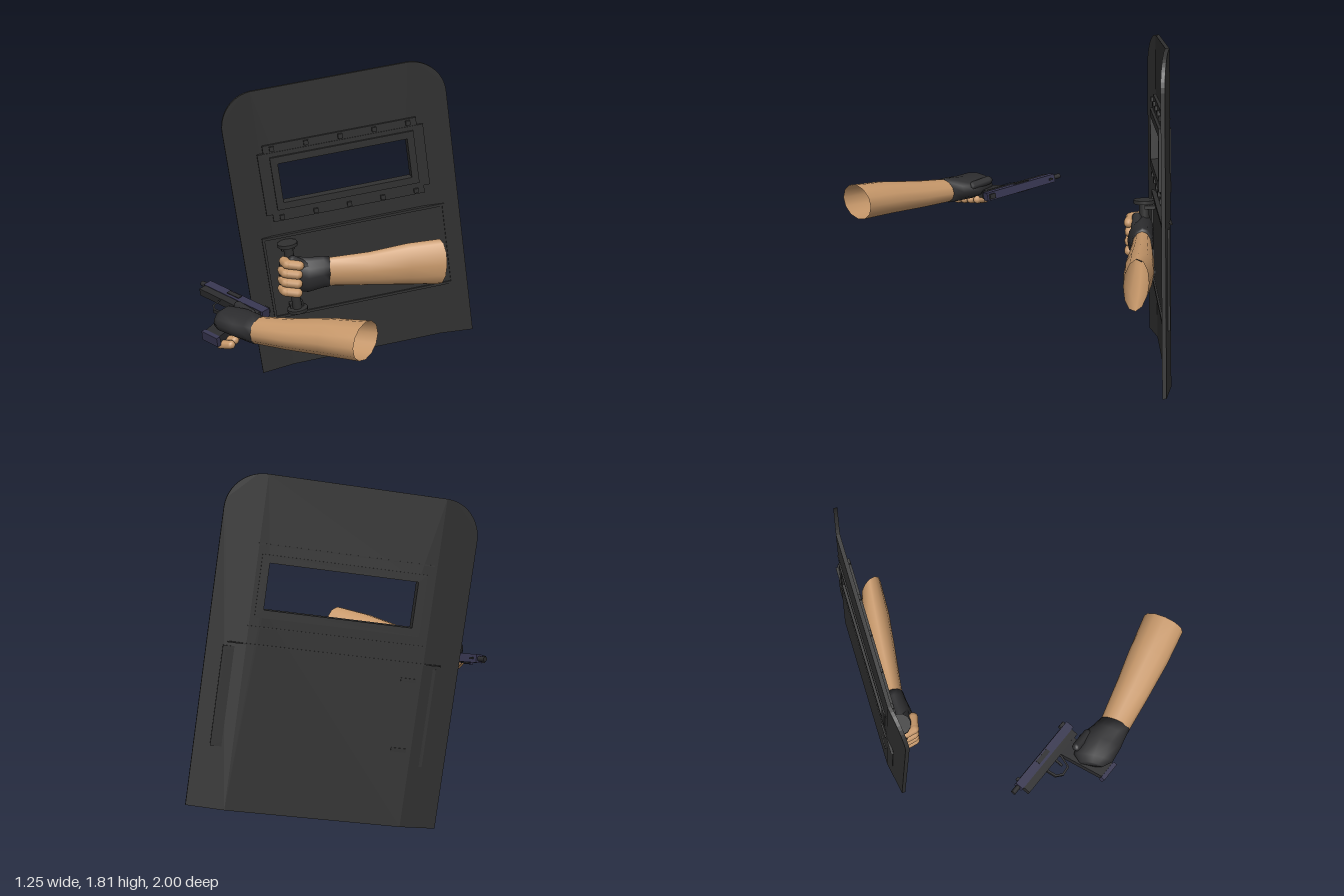
import * as THREE from 'three';

const mat = (name, color, side = THREE.FrontSide) => {
  const m = new THREE.MeshStandardMaterial({ color, side });
  m.name = name;
  return m;
};
const V = (x, y, z) => new THREE.Vector3(x, y, z);

export function createModel() {
  const model = new THREE.Group();
  const armour = mat('armour black', 0x303030);
  const glove = mat('glove black', 0x2d2d2f, THREE.DoubleSide);
  const skin = mat('skin', 0xc8996b, THREE.DoubleSide);
  const slideBlue = mat('slide navy', 0x36354f);
  const gunBlack = mat('gun black', 0x2b2b2d);

  const add = (parent, name, geo, material) => {
    const m = new THREE.Mesh(geo, material);
    m.name = name;
    parent.add(m);
    return m;
  };
  const group = (name, x, y, z, origin) => {
    const g = new THREE.Group();
    g.name = name;
    if (x) g.applyMatrix4(new THREE.Matrix4().makeBasis(x, y, z).setPosition(origin));
    model.add(g);
    return g;
  };
  // box given by its two opposite corners
  const box = (parent, name, x0, x1, y0, y1, z0, z1, material) => {
    const g = new THREE.BoxGeometry(x1 - x0, y1 - y0, z1 - z0);
    g.translate((x0 + x1) / 2, (y0 + y1) / 2, (z0 + z1) / 2);
    return add(parent, name, g, material);
  };
  const rect = (P, x0, x1, y0, y1) => {
    const s = new P();
    s.moveTo(x0, y0); s.lineTo(x1, y0); s.lineTo(x1, y1); s.lineTo(x0, y1); s.closePath();
    return s;
  };
  const extrude = (shape, z0, z1) => new THREE.ExtrudeGeometry(shape,
    { depth: z1 - z0, bevelEnabled: false, curveSegments: 6 }).translate(0, 0, z0);
  // rounded finger-like rod between two points
  const rod = (parent, name, a, b, r, material) => {
    const m = add(parent, name, new THREE.CapsuleGeometry(r, a.distanceTo(b), 3, 8), material);
    m.position.copy(a).lerp(b, 0.5);
    m.quaternion.setFromUnitVectors(V(0, 1, 0), b.clone().sub(a).normalize());
  };
  // skin over elliptical rings: [centre x, y, z, side x, side z, half height]
  const loft = (name, rings, material, capped, n = 12) => {
    const pos = [], idx = [];
    for (const [x, y, z, sx, sz, h] of rings)
      for (let i = 0; i < n; i++) {
        const t = (i / n) * Math.PI * 2, c = Math.cos(t);
        pos.push(x + c * sx, y + Math.sin(t) * h, z + c * sz);
      }
    for (let r = 0; r < rings.length - 1; r++)
      for (let i = 0; i < n; i++) {
        const a = r * n + i, b = r * n + (i + 1) % n;
        idx.push(a, a + n, b, b, a + n, b + n);
      }
    if (capped) {
      const e = (rings.length - 1) * n;
      for (let i = 1; i < n - 1; i++) idx.push(0, i, i + 1, e, e + i + 1, e + i);
    }
    const g = new THREE.BufferGeometry();
    g.setAttribute('position', new THREE.Float32BufferAttribute(pos, 3));
    g.setIndex(idx);
    g.computeVertexNormals();
    return add(model, name, g, material);
  };

  // ---- shield: x along its width, y along its height, z towards the bearer
  const U = V(0.842, 0.146, -0.519).normalize();
  const N = U.clone().cross(V(-0.114, 0.989, 0.094)).normalize();
  const shield = group('shield', U, N.clone().cross(U), N, V(-0.46, 0.005, -0.34));
  const W = 1.27, H = 1.665, E = 0.19, D = -0.035;
  // flat middle, side strips folded forward
  const bend = (g) => {
    const p = g.attributes.position;
    for (let i = 0; i < p.count; i++) {
      const x = p.getX(i);
      p.setZ(i, p.getZ(i) + D * Math.min(1, x / E, (W - x) / E));
    }
    g.computeVertexNormals();
    return g;
  };
  const middle = rect(THREE.Shape, E, W - E, 0, H);
  middle.holes.push(rect(THREE.Path, 0.275, 1.018, 1.01, 1.24));
  add(shield, 'shieldPlate', bend(extrude(middle, -0.01, 0.01)), armour);
  const left = new THREE.Shape();
  left.moveTo(0, 0); left.lineTo(E, 0); left.lineTo(E, H);
  left.absarc(E, H - E, E, Math.PI / 2, Math.PI, false);
  left.closePath();
  add(shield, 'shieldEdge', bend(extrude(left, -0.01, 0.01)), armour);
  const right = new THREE.Shape();
  right.moveTo(W - E, 0); right.lineTo(W, 0); right.lineTo(W, H - E);
  right.absarc(W - E, H - E, E, 0, Math.PI / 2, false);
  right.closePath();
  add(shield, 'shieldEdge', bend(extrude(right, -0.01, 0.01)), armour);

  // window frame in two steps, and its bolted rails
  const frame = (name, x0, x1, y0, y1, z0, z1) => {
    const s = rect(THREE.Shape, x0, x1, y0, y1);
    s.holes.push(rect(THREE.Path, 0.275, 1.018, 1.01, 1.24));
    add(shield, name, extrude(s, z0, z1), armour);
  };
  frame('windowFrame', 0.17, 1.12, 0.945, 1.305, D, D + 0.03);
  frame('windowRim', 0.235, 1.058, 0.97, 1.28, D - 0.016, D + 0.045);
  for (const y of [0.9, 1.305]) {
    box(shield, 'windowRail', 0.205, 1.085, y, y + 0.045, D, D + 0.026, armour);
    for (let i = 0; i < 5; i++) {
      const x = 0.255 + i * 0.195;
      box(shield, 'railBolt', x - 0.013, x + 0.013, y + 0.01, y + 0.036, D, D + 0.04, armour);
    }
    box(shield, 'backSeam', 0.205, 1.085, y + 0.02, y + 0.026, D - 0.013, D, armour);
  }
  // arm panel with raised border
  box(shield, 'armPanel', 0.12, 1.19, 0.315, 0.815, D, D + 0.024, armour);
  const border = rect(THREE.Shape, 0.12, 1.19, 0.315, 0.815);
  border.holes.push(rect(THREE.Path, 0.135, 1.175, 0.33, 0.8));
  add(shield, 'panelBorder', extrude(border, D, D + 0.034), armour);
  box(shield, 'backSeam', 0.1, 1.17, 0.832, 0.838, D - 0.014, D, armour);

  // grip bar with end discs and through brackets
  const cyl = (name, r, y0, y1) => add(shield, name,
    new THREE.CylinderGeometry(r, r, y1 - y0, 12).translate(0.254, (y0 + y1) / 2, 0.045), armour);
  cyl('shieldGrip', 0.027, 0.37, 0.78);
  cyl('gripDisc', 0.06, 0.362, 0.38);
  cyl('gripDisc', 0.058, 0.765, 0.785);
  for (const y of [0.39, 0.745])
    box(shield, 'gripBracket', 0.215, 0.293, y - 0.008, y + 0.012, D - 0.016, 0.045, armour);

  // ---- arm behind the shield
  loft('shieldForearm', [
    [-0.11, 0.635, -0.463, 0.025, 0.045, 0.085],
    [0.1, 0.645, -0.575, 0.035, 0.058, 0.1],
    [0.3, 0.665, -0.675, 0.045, 0.062, 0.125],
    [0.465, 0.675, -0.752, 0.06, 0.038, 0.137],
  ], skin, false);
  loft('shieldGlove', [
    [-0.35, 0.625, -0.335, 0.012, 0.025, 0.085],
    [-0.31, 0.63, -0.365, 0.02, 0.05, 0.105],
    [-0.2, 0.625, -0.405, 0.03, 0.065, 0.105],
    [-0.13, 0.635, -0.452, 0.028, 0.055, 0.095],
    [-0.1, 0.637, -0.468, 0.027, 0.05, 0.092],
  ], glove, true);
  for (let i = 0; i < 4; i++) {
    const y = 0.55 + i * 0.055, x = -0.33 + (i === 3 ? 0.01 : 0);
    rod(model, 'shieldFinger', V(x, y, -0.33), V(x + 0.035, y - 0.003, -0.296), 0.029, skin);
    rod(model, 'shieldFinger', V(x + 0.035, y - 0.003, -0.296), V(x + 0.1, y - 0.01, -0.318), 0.027, skin);
  }
  rod(model, 'shieldThumb', V(-0.19, 0.68, -0.38), V(-0.27, 0.725, -0.34), 0.027, glove);

  // ---- arm with the pistol
  loft('pistolForearm', [
    [-0.015, 0.755, 0.75, -0.012, 0.08, 0.065],
    [0.18, 0.78, 0.795, -0.015, 0.093, 0.075],
    [0.4, 0.817, 0.842, -0.018, 0.108, 0.089],
    [0.597, 0.84, 0.88, -0.022, 0.112, 0.095],
  ], skin, false);
  loft('pistolGlove', [
    [-0.255, 0.755, 0.68, 0.005, 0.065, 0.035],
    [-0.22, 0.76, 0.68, 0.005, 0.105, 0.055],
    [-0.12, 0.755, 0.695, -0.008, 0.115, 0.062],
    [-0.05, 0.755, 0.73, -0.012, 0.092, 0.068],
    [0.0, 0.755, 0.752, -0.012, 0.083, 0.068],
  ], glove, true);
  for (let i = 0; i < 4; i++) {
    const z = 0.61 + i * 0.045, y = 0.69 - i * 0.007;
    rod(model, 'pistolFinger', V(-0.235, y + 0.01, z), V(-0.21, y - 0.018, z + 0.01), 0.024, skin);
    rod(model, 'pistolFinger', V(-0.21, y - 0.018, z + 0.01), V(-0.15, y - 0.008, z + 0.02), 0.023, skin);
  }
  rod(model, 'pistolThumb', V(-0.1, 0.78, 0.62), V(-0.19, 0.795, 0.58), 0.024, glove);

  // pistol held on its side: x forward, y gun-up, z across
  const F = V(-0.914, 0.07, -0.4).normalize();
  const S = F.clone().cross(V(0.4, 0.2, -0.9)).normalize();
  const pistol = group('pistol', F, S.clone().cross(F), S, V(-0.28, 0.755, 0.44));
  box(pistol, 'slide', -0.225, 0.225, -0.005, 0.043, -0.023, 0.023, slideBlue);
  box(pistol, 'frame', -0.21, 0.215, -0.045, -0.005, -0.02, 0.02, gunBlack);
  box(pistol, 'rearSight', -0.215, -0.18, 0.043, 0.058, -0.014, 0.014, gunBlack);
  box(pistol, 'frontSight', 0.185, 0.205, 0.043, 0.055, -0.005, 0.005, gunBlack);
  box(pistol, 'ejectionPort', -0.03, 0.06, 0.01, 0.035, -0.027, 0.027, gunBlack);
  add(pistol, 'barrel', new THREE.CylinderGeometry(0.014, 0.014, 0.05, 10)
    .rotateZ(Math.PI / 2).translate(0.245, 0.021, 0), gunBlack);
  const guard = new THREE.Shape();
  [[0.06, -0.04], [0.05, -0.1], [0.015, -0.128], [-0.04, -0.122], [-0.07, -0.04]]
    .forEach(([x, y], i) => (i ? guard.lineTo(x, y) : guard.moveTo(x, y)));
  const gap = new THREE.Path();
  [[0.048, -0.045], [0.039, -0.094], [0.011, -0.116], [-0.034, -0.111], [-0.055, -0.045]]
    .forEach(([x, y], i) => (i ? gap.lineTo(x, y) : gap.moveTo(x, y)));
  guard.holes.push(gap);
  add(pistol, 'triggerGuard', extrude(guard, -0.01, 0.01), gunBlack);
  box(pistol, 'trigger', -0.03, -0.018, -0.09, -0.04, -0.005, 0.005, gunBlack);
  const slanted = (name, pts, half, material) => {
    const s = new THREE.Shape(pts.map(([x, y]) => new THREE.Vector2(x, y)));
    add(pistol, name, extrude(s, -half, half), material);
  };
  slanted('pistolGrip', [[-0.06, -0.04], [-0.18, -0.04], [-0.215, -0.29], [-0.115, -0.29]], 0.022, gunBlack);
  slanted('magazineBase', [[-0.108, -0.288], [-0.22, -0.288], [-0.222, -0.312], [-0.108, -0.312]], 0.025, slideBlue);

  return model;
}
